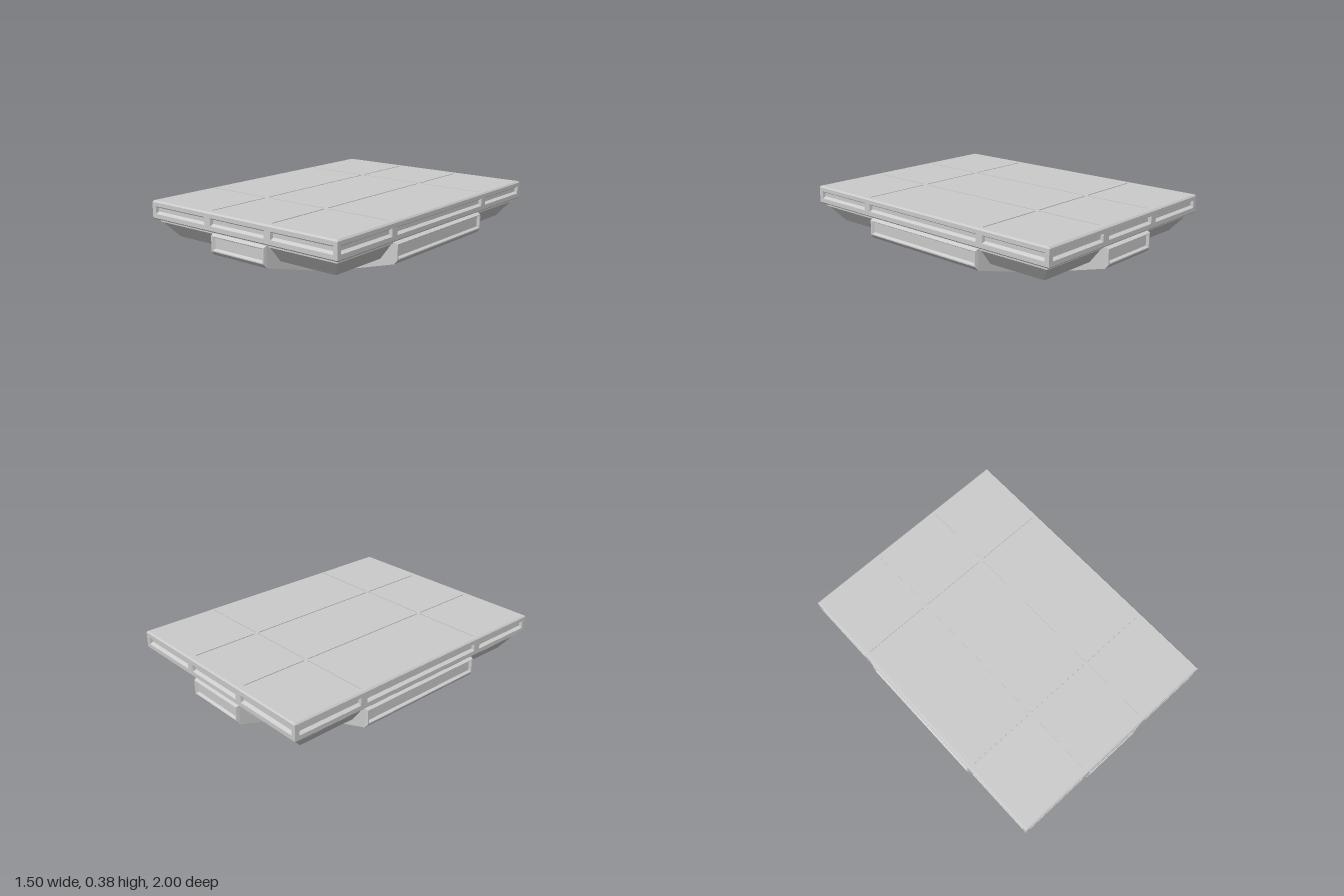
import * as THREE from 'three';

const material = new THREE.MeshStandardMaterial({ color: 0xcccccc, flatShading: true, side: THREE.DoubleSide });

function add(parent, geometry, name) {
  const mesh = new THREE.Mesh(geometry, material);
  mesh.name = name;
  parent.add(mesh);
  return mesh;
}

// Skin a run of four-cornered rings, counter-clockwise seen from the run's end
function loft(rings, capStart = true, capEnd = true) {
  const pos = [];
  const quad = (a, b, c, d) => pos.push(...a, ...b, ...c, ...a, ...c, ...d);
  for (let i = 0; i + 1 < rings.length; i++) {
    const r = rings[i], s = rings[i + 1];
    for (let j = 0; j < 4; j++) {
      const k = (j + 1) % 4;
      quad(r[j], r[k], s[k], s[j]);
    }
  }
  if (capStart) quad(...rings[0].slice().reverse());
  if (capEnd) quad(...rings[rings.length - 1]);
  const g = new THREE.BufferGeometry();
  g.setAttribute('position', new THREE.Float32BufferAttribute(pos, 3));
  g.computeVertexNormals();
  return g;
}

// Rings facing down (y) and facing forward (z)
const ringDown = (x0, x1, z0, z1, y) => [[x0, y, z0], [x1, y, z0], [x1, y, z1], [x0, y, z1]];
const ringFront = (x0, x1, y0, y1, z) => [[x0, y0, z], [x1, y0, z], [x1, y1, z], [x0, y1, z]];

function rectPath(path, x0, x1, y0, y1) {
  path.moveTo(x0, y0);
  path.lineTo(x1, y0);
  path.lineTo(x1, y1);
  path.lineTo(x0, y1);
  path.closePath();
  return path;
}

// One vertical slab edge with three tapered slots
function slabEdge(half, dist, inner) {
  const g = new THREE.Group();
  g.name = 'slabEdge';
  const plate = rectPath(new THREE.Shape(), -half, half, 0.268, 0.37);
  const slots = [[-half + 0.03, -inner - 0.05], [-inner, inner], [inner + 0.05, half - 0.03]];
  for (const [a, b] of slots) {
    plate.holes.push(rectPath(new THREE.Path(), a, b, 0.296, 0.345));
    add(g, loft([
      ringFront(a, b, 0.296, 0.345, dist),
      ringFront(a + 0.004, b - 0.004, 0.309, 0.334, dist - 0.02),
    ], false, true), 'edgeSlot');
  }
  add(g, new THREE.ShapeGeometry(plate).translate(0, 0, dist), 'edgePlate');
  return g;
}

// Tapered beam along z with a sunken panel at each end
function hullBeam(halfWidth, innerZ, endZ) {
  const w = halfWidth - 0.05;
  const half = [
    [halfWidth, 0, 0.25, innerZ],
    [w, 0.12, 0.25, endZ - 0.02],
    [w - 0.005, 0.145, 0.24, endZ],
    [w - 0.015, 0.152, 0.236, endZ],
    [w - 0.025, 0.162, 0.228, endZ - 0.015],
  ];
  const stations = [...half.map(([a, b, c, z]) => [a, b, c, -z]).reverse(), ...half];
  return loft(stations.map(([a, b, c, z]) => ringFront(-a, a, b, c, z)));
}

// Corner pod with a sunken square underneath and a sloping gusset
function cornerPod() {
  const g = new THREE.Group();
  g.name = 'cornerPod';
  add(g, loft([
    ringDown(0.2, 0.72, 0.45, 0.965, 0.25),
    ringDown(0.2, 0.64, 0.45, 0.88, 0.14),
    ringDown(0.37, 0.59, 0.62, 0.83, 0.14),
    ringDown(0.38, 0.58, 0.63, 0.82, 0.16),
  ]), 'podBody');
  const tri = new THREE.BufferGeometry();
  tri.setAttribute('position', new THREE.Float32BufferAttribute(
    [0.268, 0.002, 0.518, 0.5, 0.14, 0.494, 0.243, 0.14, 0.76], 3));
  tri.computeVertexNormals();
  add(g, tri, 'gusset');
  return g;
}

export function createModel() {
  const model = new THREE.Group();
  model.name = 'platform';

  // Top slab: paved deck, chamfers, slotted edges
  const slab = new THREE.Group();
  slab.name = 'slab';
  model.add(slab);
  const deck = rectPath(new THREE.Shape(), -0.742, 0.742, -0.992, 0.992);
  const xs = [-0.73, -0.245, 0.245, 0.73], zs = [-0.97, -0.495, 0.495, 0.97];
  const t = 0.005, gap = 0.015;
  for (let i = 0; i < 3; i++) {
    for (const k of [1, 2]) {
      deck.holes.push(rectPath(new THREE.Path(), xs[i] + gap, xs[i + 1] - gap, zs[k] - t, zs[k] + t));
      deck.holes.push(rectPath(new THREE.Path(), xs[k] - t, xs[k] + t, zs[i] + gap, zs[i + 1] - gap));
    }
  }
  const deckGeo = new THREE.ExtrudeGeometry(deck, { depth: 0.005, bevelEnabled: false });
  add(slab, deckGeo.rotateX(-Math.PI / 2).translate(0, 0.375, 0), 'deck');
  add(slab, new THREE.BoxGeometry(1.45, 0.1, 1.95).translate(0, 0.325, 0), 'slabCore');
  add(slab, loft([
    ringDown(-0.742, 0.742, -0.992, 0.992, 0.38),
    ringDown(-0.75, 0.75, -1, 1, 0.37),
  ], false, false), 'topChamfer');
  add(slab, loft([
    ringDown(-0.75, 0.75, -1, 1, 0.268),
    ringDown(-0.742, 0.742, -0.992, 0.992, 0.26),
  ], false, true), 'slabUnderside');
  for (let i = 0; i < 4; i++) {
    const edge = i % 2 ? slabEdge(1, 0.75, 0.47) : slabEdge(0.75, 1, 0.22);
    edge.rotation.y = i * Math.PI / 2;
    slab.add(edge);
  }

  // Narrow neck between slab and hull
  add(model, new THREE.BoxGeometry(1.44, 0.03, 1.93).translate(0, 0.255, 0), 'neck');

  // Crossed hull beams
  add(model, hullBeam(0.27, 0.52, 1), 'longBeam');
  add(model, hullBeam(0.52, 0.27, 0.75), 'crossBeam').rotation.y = Math.PI / 2;

  // Four corner pods
  for (const sx of [1, -1]) {
    for (const sz of [1, -1]) {
      const pod = cornerPod();
      pod.scale.set(sx, 1, sz);
      model.add(pod);
    }
  }
  return model;
}
